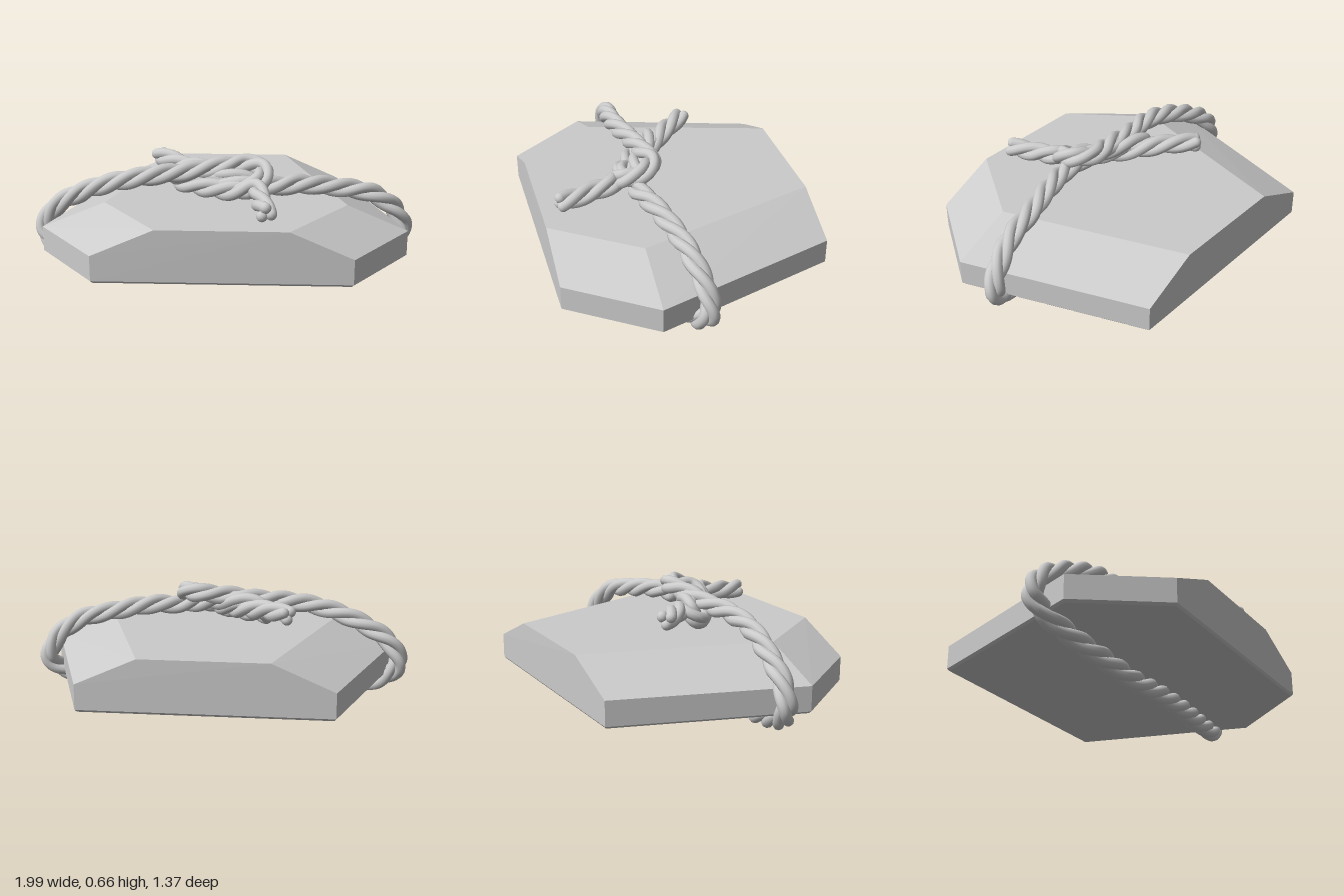
import * as THREE from 'three';
import { ConvexGeometry } from 'three/addons/geometries/ConvexGeometry.js';

const V = (x, y, z) => new THREE.Vector3(x, y, z);

// Six-sided stone: chamfered foot, upright rim, sloping sides up to a flat top
function stoneGeometry() {
  const outline = [[-0.62, -0.685], [0.635, -0.68], [0.94, 0.26], [0.64, 0.68], [-0.62, 0.675], [-0.925, 0.26]];
  const top = [[-0.31, -0.685], [0.33, -0.68], [0.63, 0.26], [0.33, 0.68], [-0.31, 0.675], [-0.6, 0.26]];
  const ring = (pts, y, s = 1) => pts.map(([x, z]) => V(x * s, y, z * s));
  return new ConvexGeometry([
    ...ring(outline, 0.18, 0.985), ...ring(outline, 0.192),
    ...ring(outline, 0.32), ...ring(top, 0.455),
  ]);
}

// Rope centre line: back tail, knot, round the stone, knot again, front tail
const ropePath = [
  [-0.36, 0.575, -0.21], [-0.26, 0.57, -0.1], [-0.15, 0.55, 0.01], [-0.02, 0.53, 0.14],
  [0.1, 0.545, 0.25], [0.19, 0.575, 0.25], [0.205, 0.61, 0.15], [0.12, 0.615, 0.085],
  [0, 0.605, 0.1], [-0.2, 0.58, 0.12], [-0.38, 0.565, 0.15], [-0.56, 0.53, 0.15],
  [-0.75, 0.46, 0.12], [-0.9, 0.36, 0.1], [-0.945, 0.25, 0.1], [-0.88, 0.17, 0.13],
  [-0.72, 0.11, 0.17], [-0.5, 0.075, 0.2], [-0.25, 0.057, 0.21], [0, 0.08, 0.2],
  [0.3, 0.105, 0.17], [0.6, 0.13, 0.12], [0.86, 0.17, 0.07], [0.94, 0.25, 0.03],
  [0.9, 0.36, 0.04], [0.77, 0.46, 0.07], [0.6, 0.5, 0.1], [0.4, 0.53, 0.15],
  [0.22, 0.53, 0.19], [0.06, 0.56, 0.15], [-0.1, 0.58, 0.06], [-0.22, 0.56, 0.0],
  [-0.245, 0.52, 0.04], [-0.12, 0.51, 0.14], [0.06, 0.52, 0.25], [0.17, 0.55, 0.3],
  [0.19, 0.53, 0.42], [0.22, 0.515, 0.58],
].map(p => V(...p));

// Three strands twisted about the centre line, with rounded ends
function makeRope(material) {
  const rope = new THREE.Group();
  rope.name = 'rope';
  const strands = 3, radius = 0.028, offset = 0.026, pitch = 0.42, steps = 360;
  const line = new THREE.CatmullRomCurve3(ropePath, false, 'centripetal');
  line.arcLengthDivisions = 800;
  const frames = line.computeFrenetFrames(steps, false);
  const turns = line.getLength() / pitch;
  for (let s = 0; s < strands; s++) {
    const pts = [];
    for (let i = 0; i <= steps; i++) {
      const a = 2 * Math.PI * (s / strands - turns * i / steps);
      pts.push(line.getPointAt(i / steps)
        .addScaledVector(frames.normals[i], offset * Math.cos(a))
        .addScaledVector(frames.binormals[i], offset * Math.sin(a)));
    }
    const strand = new THREE.Mesh(
      new THREE.TubeGeometry(new THREE.CatmullRomCurve3(pts), 600, radius, 10), material);
    strand.name = 'ropeStrand';
    rope.add(strand);
    for (const end of [pts[0], pts[steps]]) {
      const cap = new THREE.Mesh(new THREE.SphereGeometry(radius, 12, 8), material);
      cap.name = 'strandEnd';
      cap.position.copy(end);
      rope.add(cap);
    }
  }
  return rope;
}

export function createModel() {
  const group = new THREE.Group();
  group.name = 'ropedStone';
  const stone = new THREE.Mesh(stoneGeometry(),
    new THREE.MeshStandardMaterial({ color: 0xcccccc, flatShading: true }));
  stone.name = 'stone';
  group.add(stone, makeRope(new THREE.MeshStandardMaterial({ color: 0xcccccc })));
  return group;
}
